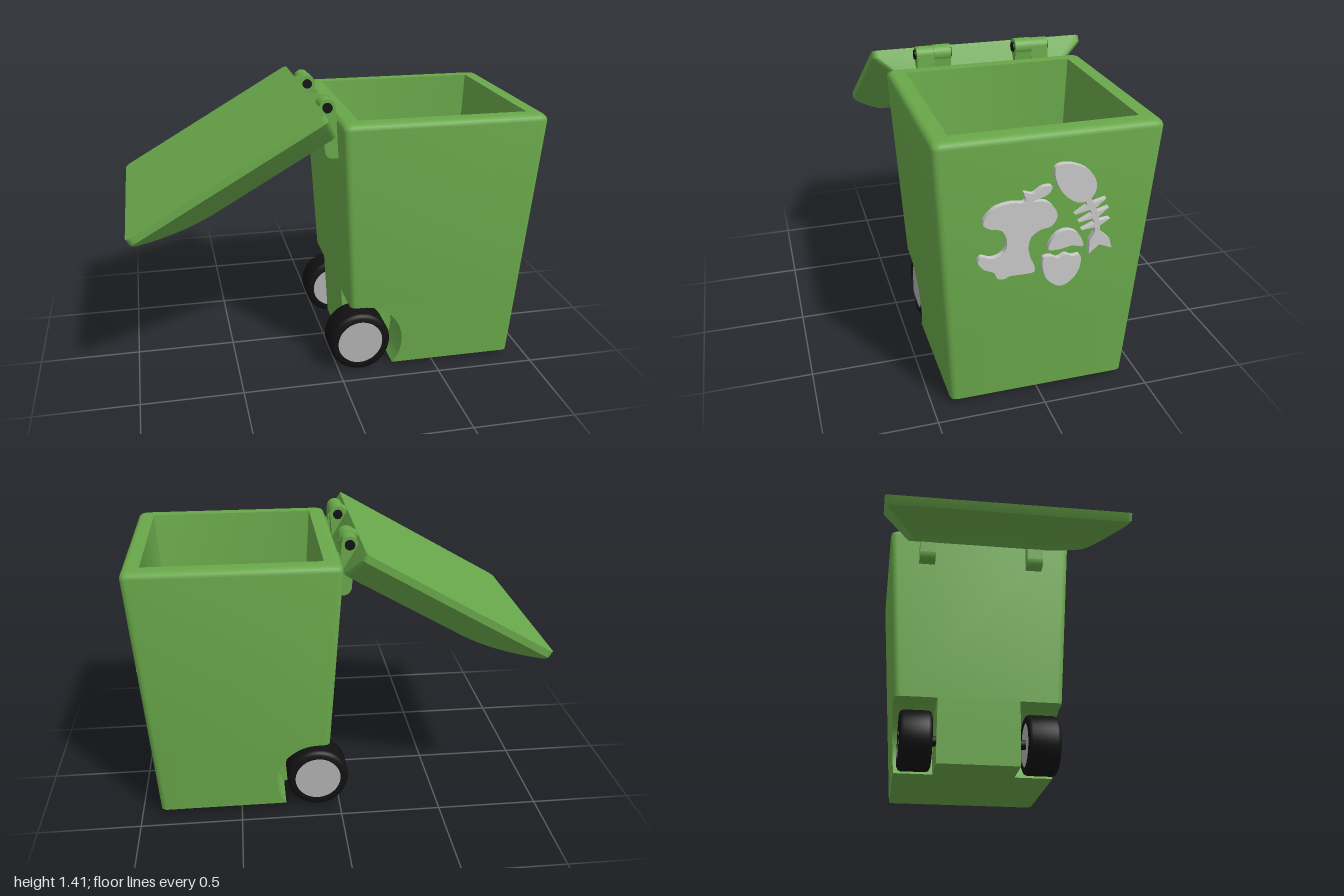
import * as THREE from 'three';
import { toCreasedNormals } from 'three/addons/utils/BufferGeometryUtils.js';

const paint = (color) => new THREE.MeshStandardMaterial({ color });
const GREEN = paint(0x69a84a), BLACK = paint(0x111111), METAL = paint(0xb0b0b0), GREY = paint(0xcccccc);

function add(parent, name, geometry, material) {
  const mesh = new THREE.Mesh(geometry, material);
  mesh.name = name;
  parent.add(mesh);
  return mesh;
}

// Skin a stack of equal-length rings (counter-clockwise in x,z) and cap both ends
function loft(rings, crease = 0.6) {
  const n = rings[0].length, index = [];
  for (let r = 0; r < rings.length - 1; r++) {
    for (let i = 0; i < n; i++) {
      const a = r * n + i, b = r * n + (i + 1) % n;
      index.push(a, a + n, b, b, a + n, b + n);
    }
  }
  const cap = (ring, base, flip) => {
    const flat = ring.map((p) => new THREE.Vector2(p.x, p.z));
    for (const [a, b, c] of THREE.ShapeUtils.triangulateShape(flat, [])) {
      index.push(base + a, base + (flip ? c : b), base + (flip ? b : c));
    }
  };
  cap(rings[0], 0, false);
  cap(rings[rings.length - 1], (rings.length - 1) * n, true);
  const geometry = new THREE.BufferGeometry().setFromPoints(rings.flat()).setIndex(index);
  return toCreasedNormals(geometry, crease);
}

const CX = 0.4875, BASE = 0.03, TOP = 1.32, ROUND = 0.03;
const WHEEL = { x: 0.11, y: 0.155, r: 0.155, well: 0.21, inner: 0.215 };
const halfAt = (y) => 0.417 + 0.0605 * (y - BASE);

// Rounded square; with notchX the two back corners are cut away for the wheels
function bodyRing(y, half, r, notchX) {
  const ring = [];
  [[1, 1], [-1, 1], [-1, -1], [1, -1]].forEach(([sx, sz], corner) => {
    if (notchX !== undefined && sx < 0) {
      const back = CX - half, zi = WHEEL.inner;
      const cut = [[notchX, half], [notchX, (half + zi) / 2], [notchX, zi], [(notchX + back) / 2, zi], [back, zi]];
      if (sz < 0) cut.reverse();
      cut.forEach(([x, z]) => ring.push(new THREE.Vector3(x, y, z * sz)));
      return;
    }
    for (let k = 0; k < 5; k++) {
      const t = (corner + k / 4) * Math.PI / 2;
      ring.push(new THREE.Vector3(CX + sx * (half - r) + r * Math.cos(t), y, sz * (half - r) + r * Math.sin(t)));
    }
  });
  return ring;
}

function bodyGeometry() {
  const rings = [];
  // Lower part follows the round wheel wells
  const start = Math.asin((BASE - 0.16) / WHEEL.well);
  for (let i = 0; i <= 24; i++) {
    const t = start + (Math.PI / 2 - start) * i / 24;
    const y = 0.16 + WHEEL.well * Math.sin(t);
    rings.push(bodyRing(y, halfAt(y), ROUND, WHEEL.x + WHEEL.well * Math.cos(t)));
  }
  // Plain tapered walls, rounded rim, then the cavity
  rings.push(bodyRing(0.37, halfAt(0.37), ROUND));
  for (let k = 0; k <= 5; k++) {
    const t = k / 5 * Math.PI / 2;
    rings.push(bodyRing(TOP - ROUND + ROUND * Math.sin(t), halfAt(TOP - ROUND) - ROUND * (1 - Math.cos(t)), ROUND));
  }
  rings.push(bodyRing(TOP, 0.41, 0.005), bodyRing(0.45, 0.36, 0.005));
  return loft(rings);
}

// Lid: flat underside, upright rim, sloping sides, top curving down to the free end
function lidGeometry() {
  const length = 1.04, rim = 0.035, round = 0.03, stations = [];
  for (let i = 0; i <= 4; i++) stations.push(round * (1 - Math.cos(i / 4 * Math.PI / 2)));
  const us = [...stations, ...Array.from({ length: 15 }, (_, i) => 0.62 + i * 0.0275), ...stations.map((s) => length - s).reverse()];
  const rings = us.reverse().map((u) => {
    const d = Math.min(u, length - u, round);
    const w = 0.54 - round + Math.sqrt(round ** 2 - (round - d) ** 2);
    const h = 0.165 - 0.125 * Math.max(0, (u - 0.64) / 0.4) ** 2.1;
    const top = w - 1.08 * (h - rim);
    return [[0, -w], [rim, -w], [h, -top], [h, top], [rim, w], [0, w]].map(([v, z]) => new THREE.Vector3(v, -u, z));
  });
  return loft(rings, 0.45);
}

function extrude(shape, depth) {
  return new THREE.ExtrudeGeometry(shape, { depth, bevelEnabled: false, curveSegments: 16 });
}

function addHinge(parent, side) {
  const hinge = new THREE.Group();
  hinge.name = side > 0 ? 'leftHinge' : 'rightHinge';
  const px = -0.05, py = 1.367, r = 0.042;
  // Lug fixed to the body, wrapping over the pin
  const bodyLug = new THREE.Shape();
  bodyLug.moveTo(0.04, 1.12);
  bodyLug.lineTo(0.04, 1.28);
  bodyLug.lineTo(-0.008, 1.31);
  bodyLug.absarc(px, py, r - 0.003, 0, Math.PI, false);
  bodyLug.lineTo(-0.065, 1.25);
  bodyLug.lineTo(-0.062, 1.16);
  bodyLug.quadraticCurveTo(-0.055, 1.12, -0.02, 1.12);
  // Lug fixed to the lid
  const lidLug = new THREE.Shape();
  lidLug.moveTo(-0.04, 1.24);
  lidLug.lineTo(-0.02, 1.25);
  lidLug.absarc(px, py, r, -0.5, Math.PI * 0.67, false);
  lidLug.lineTo(-0.11, 1.38);
  const place = (geometry, z0, z1) => geometry.translate(0, 0, side > 0 ? z0 : -z1);
  add(hinge, 'bodyLug', place(extrude(bodyLug, 0.085), 0.25, 0.335), GREEN);
  add(hinge, 'lidLug', place(extrude(lidLug, 0.085), 0.165, 0.25), GREEN);
  const pin = add(hinge, 'hingePin', new THREE.CylinderGeometry(0.024, 0.024, 0.186, 20), BLACK);
  pin.rotation.x = Math.PI / 2;
  pin.position.set(px, py, side * 0.25);
  parent.add(hinge);
}

function addWheel(parent, side) {
  const wheel = new THREE.Group();
  wheel.name = side > 0 ? 'leftWheel' : 'rightWheel';
  const R = WHEEL.r, w = 0.083, c = 0.02, hub = 0.115;
  const outline = [[hub, -w], [R - c, -w], [R - 0.006, -w + 0.006], [R, -w + c], [R, w - c], [R - 0.006, w - 0.006], [R - c, w], [hub, w], [hub, -w]];
  const tyre = new THREE.LatheGeometry(outline.map(([x, y]) => new THREE.Vector2(x, y)), 48);
  add(wheel, 'tyre', toCreasedNormals(tyre, 0.9), BLACK);
  add(wheel, 'hub', new THREE.CylinderGeometry(hub, hub, 2 * w - 0.012, 48), METAL);
  wheel.rotation.x = Math.PI / 2;
  wheel.position.set(WHEEL.x, WHEEL.y, side * 0.323);
  parent.add(wheel);
}

// Raised food-scrap shapes for the side panel, as [across, up] in hundredths
const SCRAPS = {
  appleCore: [true, [-28, 98], [-24, 102], [-17, 103.5], [-12, 103], [-11, 104], [-12, 107.5], [-8, 106.5], [-4, 109], [0, 109],
    [-1, 106], [-5, 104], [-8, 103], [-2, 102], [2, 98], [3, 94], [0.5, 90], [-4, 89], [-8, 86], [-9, 81.5], [-8, 76], [-6, 71.5],
    [-6, 68.5], [-12, 68], [-17, 68], [-19, 67], [-22, 67.5], [-24, 71], [-28, 73], [-31, 77], [-29.5, 79.5], [-25, 78], [-20, 80],
    [-18.5, 85], [-21, 91], [-26, 92.5], [-29, 95]],
  fishHead: [true, [1, 117], [4, 118.5], [10, 117.5], [15.5, 114.5], [19, 109.5], [19.5, 104.5], [17.5, 101], [13, 99.5], [8, 102], [4, 106.5], [1.5, 112]],
  fishBones: [false, [15, 101], [17.5, 101], [19, 98.5], [24.5, 100], [20, 96], [21, 94], [26, 95.5], [21.5, 91.5], [22, 89.5], [27, 90],
    [22.5, 87], [23, 84], [27.5, 80], [29, 75], [23, 77.5], [18.5, 73.5], [18.5, 80], [20.5, 84], [20.5, 86.5], [14.5, 86], [20, 88.5],
    [19, 91], [13, 90], [18.5, 93], [17.5, 95.5], [11, 94], [16, 97.5]],
  eggShellTop: [true, [0, 78.5], [1, 82.5], [4, 86], [8, 87], [12.5, 85], [15, 81], [15.5, 78], [10.5, 79], [5, 78]],
  eggShellBottom: [true, [-2, 74.5], [1.5, 75], [4.5, 73.5], [8, 75], [11, 73.5], [14.5, 73.5], [15, 68.5], [12.5, 62.5], [7, 59], [2.5, 61], [-1, 65.5]],
};

function scrapGeometry([smooth, ...pts]) {
  let outline = pts.map(([a, b]) => new THREE.Vector3(a / 100, b / 100, 0));
  if (smooth) outline = new THREE.CatmullRomCurve3(outline, true).getPoints(pts.length * 4).slice(0, -1);
  const geometry = extrude(new THREE.Shape(outline.map((p) => new THREE.Vector2(p.x, p.y))), 0.03);
  geometry.rotateY(Math.PI / 2);
  // Lean with the tapered wall
  const pos = geometry.attributes.position;
  for (let i = 0; i < pos.count; i++) pos.setX(i, pos.getX(i) + CX + halfAt(pos.getY(i)) - 0.004);
  geometry.computeVertexNormals();
  return geometry;
}

export function createModel() {
  const model = new THREE.Group();
  model.name = 'wheeledBin';
  add(model, 'body', bodyGeometry(), GREEN);

  const lid = add(model, 'lid', lidGeometry(), GREEN);
  lid.rotation.z = -Math.PI / 3;
  lid.position.set(-0.1, 1.388, 0);

  for (const side of [1, -1]) {
    addHinge(model, side);
    addWheel(model, side);
  }
  const axle = add(model, 'axle', new THREE.CylinderGeometry(0.025, 0.025, 0.5, 16), BLACK);
  axle.rotation.x = Math.PI / 2;
  axle.position.set(WHEEL.x, WHEEL.y, 0);

  const relief = new THREE.Group();
  relief.name = 'foodScrapRelief';
  for (const [name, outline] of Object.entries(SCRAPS)) add(relief, name, scrapGeometry(outline), GREY);
  model.add(relief);
  return model;
}
